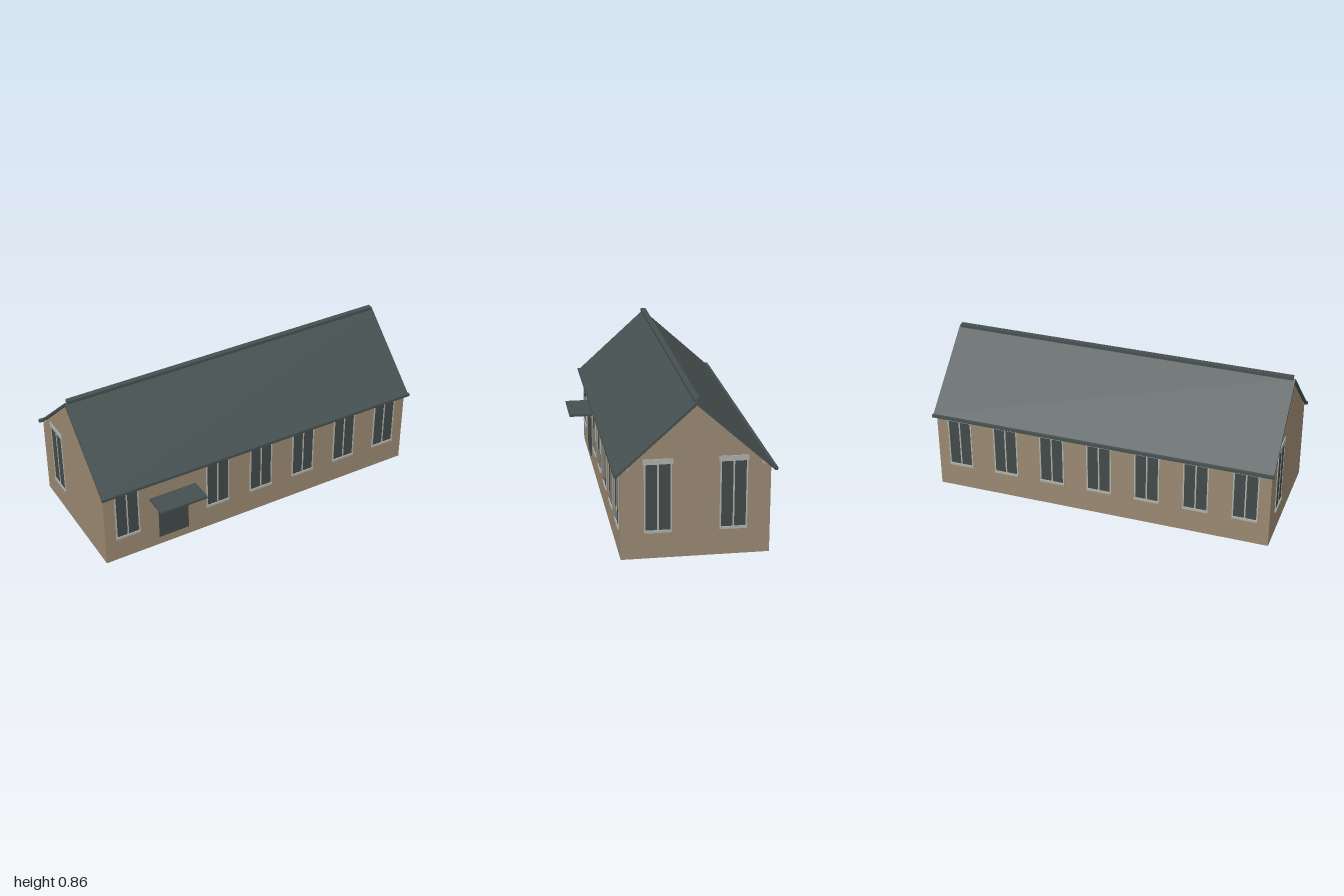
import * as THREE from 'three';

const mat = (name, color) => {
  const m = new THREE.MeshStandardMaterial({ color });
  m.name = name;
  return m;
};

export function createModel() {
  const brick = mat('tan wall', 0x9a8872);
  const slate = mat('dark slate', 0x465050);
  const glass = mat('dark glass', 0x424a49);
  const stone = mat('pale stone', 0xadb0aa);

  const model = new THREE.Group();
  model.name = 'hall';
  const body = new THREE.Group(); // centred on the ridge line
  body.name = 'building';
  body.position.z = -0.053;
  model.add(body);

  const HALF_X = 0.985, HALF_Z = 0.393, WALL = 0.05;

  const box = (parent, name, material, w, h, d, x, y, z) => {
    const mesh = new THREE.Mesh(new THREE.BoxGeometry(w, h, d), material);
    mesh.name = name;
    mesh.position.set(x, y, z);
    parent.add(mesh);
    return mesh;
  };

  // Extrudes a (z, y) cross-section along x from x0 to x1
  const prism = (name, material, points, x0, x1) => {
    const shape = new THREE.Shape(points.map(([z, y]) => new THREE.Vector2(-z, y)));
    const geo = new THREE.ExtrudeGeometry(shape, { depth: x1 - x0, bevelEnabled: false });
    geo.rotateY(Math.PI / 2).translate(x0, 0, 0);
    const mesh = new THREE.Mesh(geo, material);
    mesh.name = name;
    body.add(mesh);
  };

  const mirrored = (half) => [...half, ...half.map(([z, y]) => [-z, y]).reverse()];

  // Gable end walls, with a small step at the eaves
  const gable = mirrored([[HALF_Z, 0], [HALF_Z, 0.472], [0.374, 0.492], [0.346, 0.492], [0.346, 0.51], [0.001, 0.825]]);
  prism('rightGable', brick, gable, -HALF_X, -HALF_X + WALL);
  prism('leftGable', brick, gable, HALF_X - WALL, HALF_X);

  // Long walls, hollow inside and open below
  for (const s of [1, -1]) {
    const i = HALF_Z - WALL;
    prism(s > 0 ? 'frontWall' : 'backWall', brick,
      [[s * i, 0], [s * HALF_Z, 0], [s * HALF_Z, 0.472], [s * 0.374, 0.492], [s * i, 0.492]],
      -HALF_X + WALL, HALF_X - WALL);
  }

  // Roof slopes, ridge and gutters
  prism('roof', slate, [
    [0.412, 0.472], [0, 0.845], [-0.412, 0.472], [-0.412, 0.452], [0, 0.825], [0.412, 0.452],
  ].map(([z, y]) => [z, y + (y < 0.46 ? 0.006 : 0)]), -0.997, 0.997);
  box(body, 'ridgeCap', slate, 1.97, 0.018, 0.031, 0, 0.85, 0);
  for (const s of [1, -1]) box(body, s > 0 ? 'frontGutter' : 'backGutter', slate, 2, 0.016, 0.016, 0, 0.466, s * 0.418);

  // A two-pane window facing +z, with its wall surface at z = 0
  const windowUnit = (name, x, z, turn, top) => {
    const g = new THREE.Group();
    g.name = name;
    g.position.set(x, 0, z);
    g.rotation.y = turn;
    const bottom = 0.15, h = top - bottom, mid = (top + bottom) / 2;
    for (const s of [1, -1]) {
      box(g, 'pane', glass, 0.061, h, 0.002, s * 0.0345, mid, 0.001);
      box(g, 'jamb', stone, 0.008, h, 0.004, s * 0.069, mid, 0.002);
    }
    box(g, 'mullion', stone, 0.008, h, 0.004, 0, mid, 0.002);
    box(g, 'lintel', stone, 0.157, 0.029, 0.005, 0, top + 0.0145, 0.0025);
    box(g, 'sill', stone, 0.146, 0.014, 0.008, 0, 0.15, 0.004);
    body.add(g);
  };

  // Seven bays per long side; the second front bay holds the door
  for (let k = 0; k < 7; k++) {
    const x = (k - 3) * 0.282;
    if (k !== 1) windowUnit('frontWindow', x, HALF_Z, 0, 0.437);
    windowUnit('backWindow', x, -HALF_Z, Math.PI, 0.437);
  }
  // Taller gable windows: two at one end, a single one at the other
  for (const s of [1, -1]) windowUnit('leftGableWindow', HALF_X, s * 0.198, Math.PI / 2, 0.517);
  windowUnit('rightGableWindow', -HALF_X, -0.198, -Math.PI / 2, 0.517);

  // Door and canopy
  box(body, 'door', glass, 0.184, 0.24, 0.005, -0.564, 0.174, HALF_Z + 0.0025);
  box(body, 'canopy', slate, 0.285, 0.014, 0.14, -0.564, 0.339, HALF_Z + 0.068);

  return model;
}
